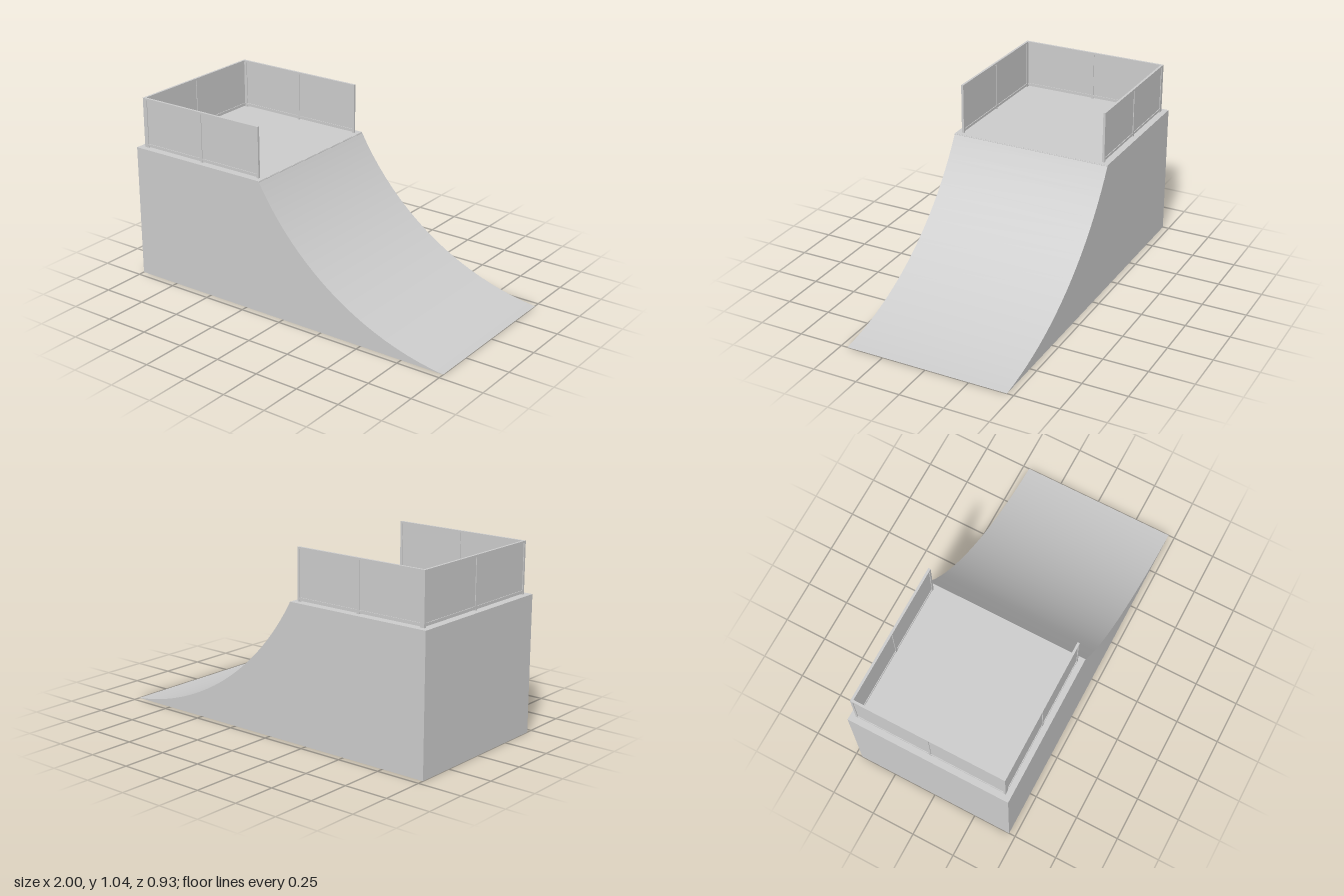
import * as THREE from 'three';

const WIDTH = 0.926, DECK_Y = 0.755, BACK_X = -1;
// Transition arc: centre, radius and end angles (measured from straight down)
const ARC = { x: 1.16, y: 1.497, r: 1.505, start: -1.053, end: -0.1065, steps: 20 };

export function createModel() {
  const model = new THREE.Group();
  const mat = new THREE.MeshStandardMaterial({ color: 0xcccccc, side: THREE.DoubleSide });

  function add(name, geometry, parent = model, x = 0, y = 0, z = 0) {
    const mesh = new THREE.Mesh(geometry, mat);
    mesh.name = name;
    mesh.position.set(x, y, z);
    parent.add(mesh);
    return mesh;
  }

  // Curved riding surface
  const ramp = new THREE.CylinderGeometry(ARC.r, ARC.r, WIDTH, ARC.steps, 1, true, ARC.start, ARC.end - ARC.start);
  ramp.rotateX(Math.PI / 2);
  add('rampSurface', ramp, model, ARC.x, ARC.y, 0);

  // Side walls follow the same arc; the base is open underneath
  const arcPoints = [];
  for (let i = 0; i <= ARC.steps; i++) {
    const a = ARC.start + (ARC.end - ARC.start) * i / ARC.steps;
    arcPoints.push(new THREE.Vector2(ARC.x + ARC.r * Math.sin(a), Math.max(0, ARC.y - ARC.r * Math.cos(a))));
  }
  const lip = arcPoints[0];
  const profile = new THREE.Shape([
    ...arcPoints,
    new THREE.Vector2(BACK_X, 0),
    new THREE.Vector2(BACK_X, DECK_Y),
    new THREE.Vector2(lip.x, DECK_Y),
  ]);
  const side = new THREE.ShapeGeometry(profile);
  add('leftSideWall', side, model, 0, 0, WIDTH / 2);
  add('rightSideWall', side.clone().scale(-1, 1, 1), model, 0, 0, -WIDTH / 2).rotation.y = Math.PI;

  // Back wall, deck and the small lip above the arc
  add('backWall', new THREE.PlaneGeometry(WIDTH, DECK_Y).rotateY(-Math.PI / 2), model, BACK_X, DECK_Y / 2, 0);
  const deckLength = lip.x - BACK_X;
  add('deck', new THREE.PlaneGeometry(deckLength, WIDTH).rotateX(-Math.PI / 2), model, BACK_X + deckLength / 2, DECK_Y, 0);
  add('deckLip', new THREE.PlaneGeometry(WIDTH, DECK_Y - lip.y).rotateY(Math.PI / 2), model, lip.x, (DECK_Y + lip.y) / 2, 0);
  add('coping', new THREE.CylinderGeometry(0.005, 0.005, WIDTH, 10).rotateX(Math.PI / 2), model, lip.x - 0.003, DECK_Y - 0.005, 0);

  // Guard rail: thin panel in a frame with three posts, running along local x
  const BAR = 0.013, TOP = 1.038;
  function guardRail(name, length) {
    const rail = new THREE.Group();
    rail.name = name;
    const height = TOP - DECK_Y;
    add('panel', new THREE.BoxGeometry(length - BAR, height - 0.008, 0.005), rail, 0, DECK_Y + height / 2, 0);
    for (const x of [-1, 0, 1]) {
      add('post', new THREE.BoxGeometry(BAR, height, BAR), rail, x * (length - BAR) / 2, DECK_Y + height / 2, 0);
    }
    add('topRail', new THREE.BoxGeometry(length, 0.01, BAR), rail, 0, TOP - 0.005, 0);
    add('bottomRail', new THREE.BoxGeometry(length, 0.01, BAR), rail, 0, 0.772, 0);
    model.add(rail);
    return rail;
  }

  const railZ = 0.432 - BAR / 2;
  const x0 = -0.968, x1 = -0.173;
  for (const s of [1, -1]) {
    const rail = guardRail(s > 0 ? 'leftGuardRail' : 'rightGuardRail', x1 - x0 - BAR);
    rail.position.set((x0 + BAR + x1) / 2, 0, s * railZ);
  }
  const backRail = guardRail('backGuardRail', 0.864);
  backRail.rotation.y = Math.PI / 2;
  backRail.position.x = x0 + BAR / 2;

  return model;
}
